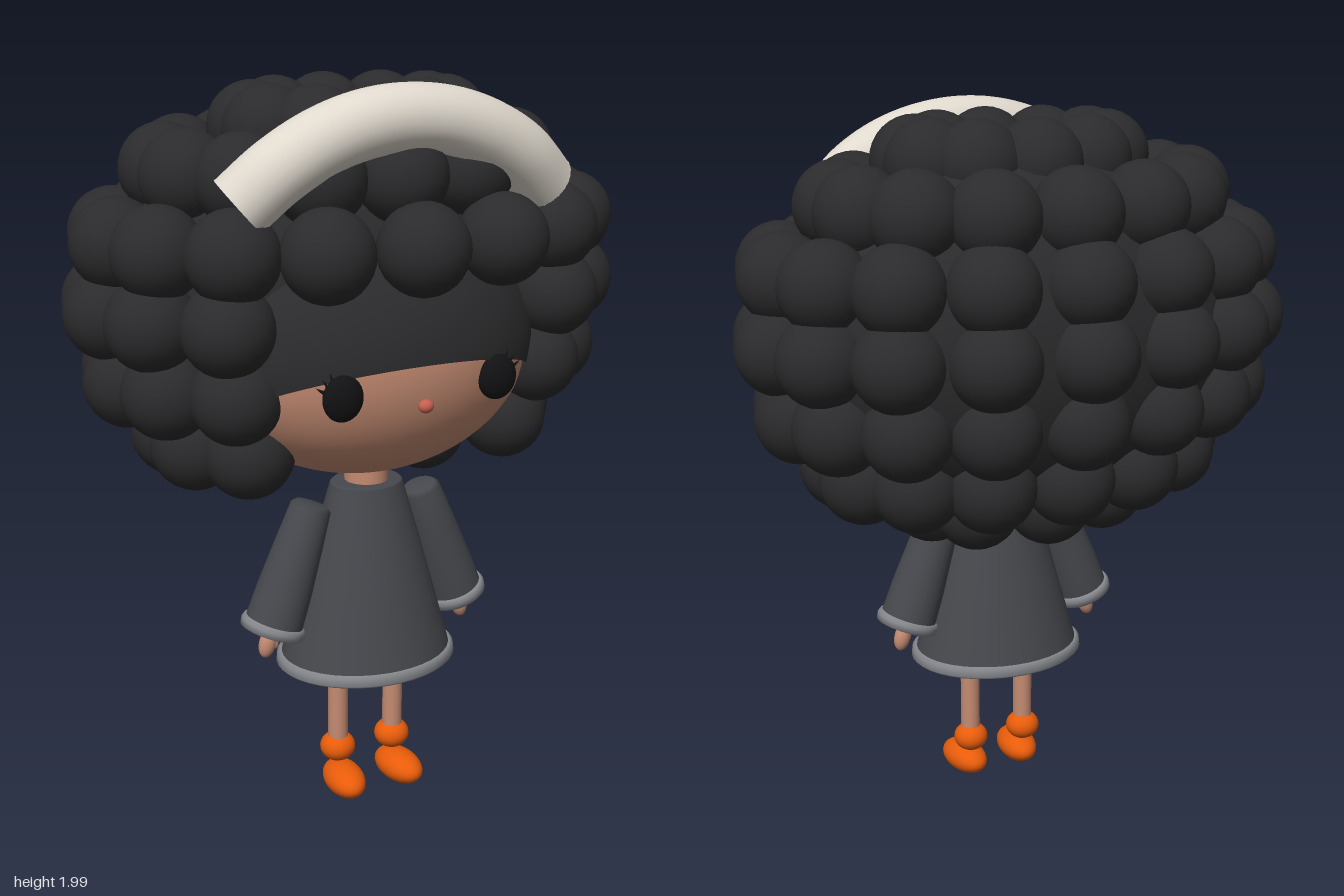
import * as THREE from 'three';

const mat = (color) => new THREE.MeshStandardMaterial({ color, side: THREE.DoubleSide });

export function createModel() {
  const hair = mat(0x2b2b2d), skin = mat(0xc48b72), cloth = mat(0x47484d), trim = mat(0x85878c);
  const orange = mat(0xe85c0a), black = mat(0x121214), cream = mat(0xe0d9ce), pink = mat(0xc4604f);

  const model = new THREE.Group();
  model.name = 'doll';

  const add = (parent, name, geometry, material, x = 0, y = 0, z = 0) => {
    const mesh = new THREE.Mesh(geometry, material);
    mesh.name = name;
    mesh.position.set(x, y, z);
    parent.add(mesh);
    return mesh;
  };
  const ball = (parent, name, material, x, y, z, rx, ry, rz, seg = 24) => {
    const mesh = add(parent, name, new THREE.SphereGeometry(1, seg, Math.ceil(seg * 0.7)), material, x, y, z);
    mesh.scale.set(rx, ry, rz);
    return mesh;
  };
  const lathe = (points) => new THREE.LatheGeometry(points.map(([r, y]) => new THREE.Vector2(r, y)), 40);

  // Curly hair: a solid core wrapped in rings of round curls
  const curls = new THREE.Group();
  curls.name = 'curlyHair';
  model.add(curls);
  ball(curls, 'hairCore', hair, 0, 1.42, -0.04, 0.66, 0.49, 0.41, 40);
  const rings = [ // height, half width, half depth, z offset, curl count
    [1.865, 0.27, 0.155, 0.03, 10],
    [1.765, 0.49, 0.325, -0.01, 14],
    [1.6, 0.65, 0.415, 0.015, 16],
    [1.42, 0.67, 0.425, 0, 16],
    [1.235, 0.625, 0.385, 0, 16],
    [1.065, 0.49, 0.32, 0.01, 14],
    [0.975, 0.27, 0.16, -0.03, 8],
  ];
  const curlGeometry = new THREE.SphereGeometry(0.12, 24, 16);
  for (const [y, a, b, dz, n] of rings) {
    for (let i = 0; i < n; i++) {
      const t = (i / n) * Math.PI * 2;
      const x = a * Math.sin(t), z = b * Math.cos(t) + dz;
      // Leave the face free of curls
      if (y < 1.5 && z > 0.08 && Math.abs(x) < 0.36) continue;
      add(curls, 'curl', curlGeometry, hair, x, y, z);
    }
  }

  // Everything below is mirrored about the body's own axis
  const body = new THREE.Group();
  body.name = 'body';
  body.position.x = -0.015;
  model.add(body);

  // Head with a smooth fringe cap, cut on a tilted plane
  ball(body, 'head', skin, 0, 1.3, 0.17, 0.46, 0.34, 0.31, 48);
  const cap = new THREE.SphereGeometry(1, 48, 32, 0, Math.PI * 2, 0, 1.96);
  cap.rotateX(-0.447);
  cap.scale(0.47, 0.35, 0.322);
  add(body, 'fringe', cap, hair, 0, 1.3, 0.17);
  ball(body, 'nose', pink, 0, 1.212, 0.478, 0.021, 0.018, 0.018, 16);

  // Headband: a thick arc with flat ends
  const arc = [];
  for (let i = -4; i <= 4; i++) {
    const t = (i / 4) * 0.84;
    arc.push(new THREE.Vector3(0.58 * Math.sin(t), 1.335 + 0.58 * Math.cos(t), 0.355 - 0.04 * (i / 4) ** 4));
  }
  const path = new THREE.CatmullRomCurve3(arc);
  add(body, 'headband', new THREE.TubeGeometry(path, 48, 0.085, 24), cream);
  for (const t of [0, 1]) {
    const p = path.getPoint(t), d = path.getTangent(t).multiplyScalar(t ? 1 : -1);
    const end = add(body, 'headbandEnd', new THREE.CircleGeometry(0.085, 24), cream, p.x, p.y, p.z);
    end.quaternion.setFromUnitVectors(new THREE.Vector3(0, 0, 1), d);
  }

  // Neck and flared dress, open at the bottom
  add(body, 'neck', new THREE.CylinderGeometry(0.06, 0.06, 0.14, 24), skin, 0, 0.95, 0.16);
  const dress = new THREE.Group();
  dress.name = 'dress';
  dress.position.z = 0.16;
  dress.scale.z = 0.83;
  body.add(dress);
  add(dress, 'skirt', lathe([[0.245, 0.42], [0.2, 0.58], [0.155, 0.74], [0.102, 0.918]]), cloth);
  add(dress, 'collar', lathe([[0.102, 0.918], [0.095, 0.924], [0, 0.924]]), cloth);
  add(dress, 'hem', lathe([[0.238, 0.43], [0.247, 0.434], [0.256, 0.425], [0.258, 0.405], [0.25, 0.398], [0.238, 0.403], [0.238, 0.43]]), trim);

  for (const s of [1, -1]) {
    // Eye with lashes
    ball(body, 'eye', black, s * 0.222, 1.255, 0.455, 0.055, 0.06, 0.03);
    for (let i = 0; i < 3; i++) {
      const lash = add(body, 'eyelash', new THREE.ConeGeometry(0.008, 0.04, 8), black,
        s * (0.25 + i * 0.014), 1.305 - i * 0.013, 0.45);
      lash.rotation.z = -s * (0.3 + i * 0.35);
    }

    // Sleeve hangs from the shoulder; its local y axis runs along the arm
    const arm = new THREE.Group();
    arm.name = s > 0 ? 'leftArm' : 'rightArm';
    arm.position.set(s * 0.168, 0.868, 0.16);
    arm.rotation.z = s * 0.345;
    body.add(arm);
    add(arm, 'sleeve', lathe([[0, 0.012], [0.045, 0.01], [0.056, 0], [0.065, -0.1], [0.076, -0.24], [0.08, -0.34]]), cloth);
    add(arm, 'cuff', lathe([[0.074, -0.33], [0.085, -0.33], [0.09, -0.342], [0.088, -0.36], [0.074, -0.36], [0.074, -0.33]]), trim);
    add(arm, 'forearm', new THREE.CylinderGeometry(0.02, 0.02, 0.3, 16), skin, 0, -0.22, 0);
    const hand = ball(arm, 'hand', skin, 0, -0.395, 0, 0.024, 0.042, 0.022, 20);
    hand.rotation.z = -s * 0.1;
    const thumb = ball(arm, 'thumb', skin, -s * 0.018, -0.385, 0.006, 0.009, 0.022, 0.01, 12);
    thumb.rotation.z = -s * 0.4;

    // Leg, rolled sock and shoe
    add(body, 'leg', new THREE.CylinderGeometry(0.028, 0.028, 0.5, 24), skin, s * 0.087, 0.35, 0.16);
    ball(body, 'sock', orange, s * 0.087, 0.133, 0.158, 0.05, 0.042, 0.05);
    const shoe = ball(body, 'shoe', orange, s * 0.088, 0.05, 0.2, 0.055, 0.045, 0.092);
    shoe.rotation.y = s * 0.1;
  }

  // Stand on the ground
  model.position.y = -0.005;
  return model;
}
